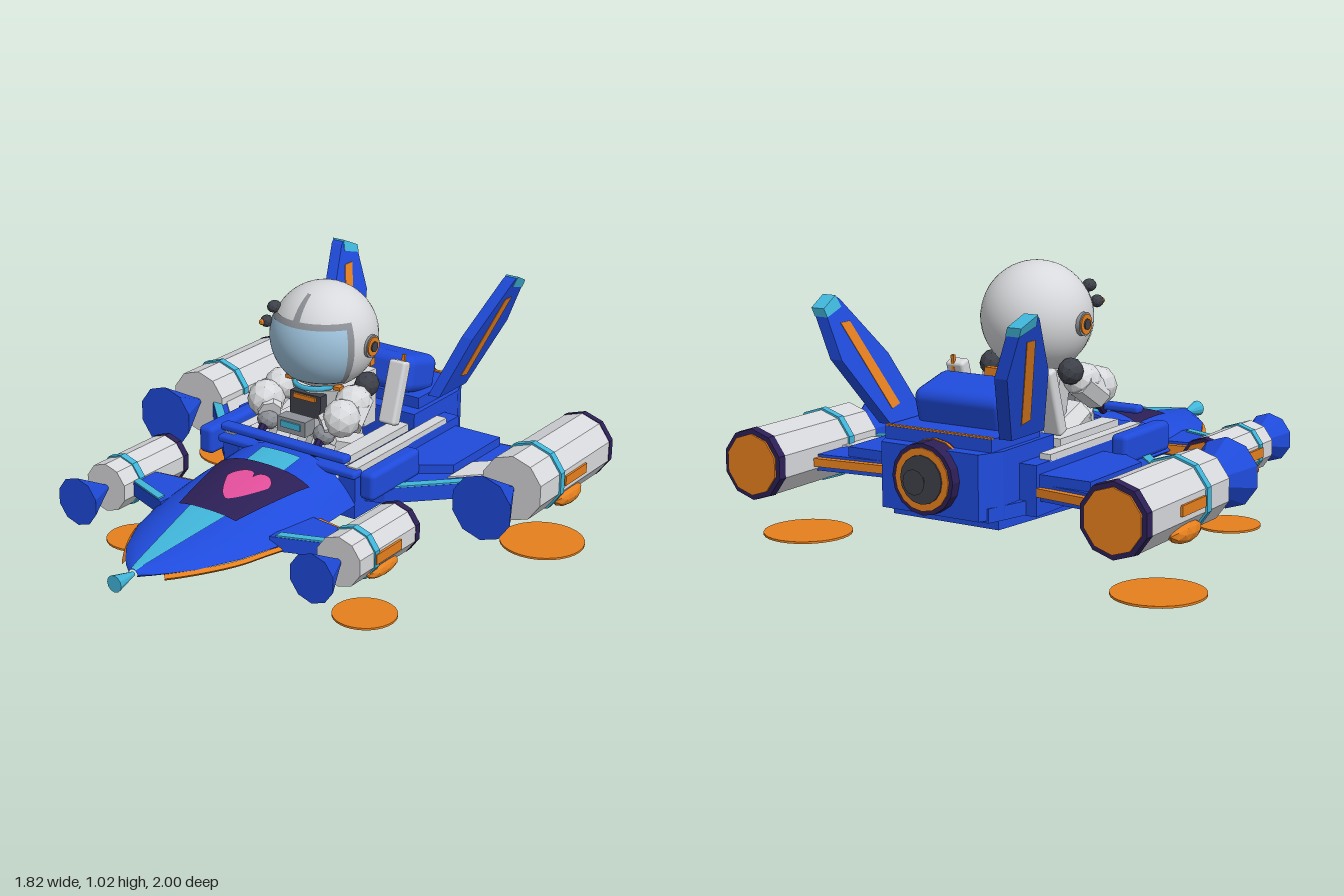
import * as THREE from 'three';
import { RoundedBoxGeometry } from 'three/addons/geometries/RoundedBoxGeometry.js';

const M = (name, color) => Object.assign(new THREE.MeshStandardMaterial({ color }), { name });

export function createModel() {
  const blue = M('blue', 0x1f4bdc), white = M('white', 0xd8d9dc), cyan = M('cyan', 0x40b6da);
  const orange = M('orange', 0xe6801e), purple = M('purple', 0x2c1f56), pink = M('pink', 0xe44f9c);
  const glass = M('visorBlue', 0x9fc4de), grey = M('grey', 0x8d9197), dark = M('darkGrey', 0x3f414a);
  const root = new THREE.Group();
  let target = root;

  // Helpers
  const group = (name) => { target = new THREE.Group(); target.name = name; root.add(target); };
  const flat = (g) => { const n = g.index ? g.toNonIndexed() : g; n.computeVertexNormals(); return n; };
  const add = (name, g, mat, x = 0, y = 0, z = 0) => {
    const m = new THREE.Mesh(g, mat);
    m.name = name;
    m.position.set(x, y, z);
    target.add(m);
    return m;
  };
  const box = (name, w, h, d, mat, x, y, z, rx = 0) => {
    add(name, new THREE.BoxGeometry(w, h, d), mat, x, y, z).rotation.x = rx;
  };
  const softBox = (name, w, h, d, r, mat, x, y, z, rx = 0) => {
    add(name, new RoundedBoxGeometry(w, h, d, 3, r), mat, x, y, z).rotation.x = rx;
  };
  // Cylinder lying along z
  const cyl = (name, rFront, rBack, len, sides, mat, x, y, z) =>
    add(name, flat(new THREE.CylinderGeometry(rFront, rBack, len, sides).rotateX(Math.PI / 2)), mat, x, y, z);
  const blob = (name, mat, x, y, z, sx, sy, sz) =>
    add(name, flat(new THREE.IcosahedronGeometry(1, 1).scale(sx, sy, sz)), mat, x, y, z);
  const limb = (name, a, b, r0, r1, mat) => {
    const p = new THREE.Vector3(...a), q = new THREE.Vector3(...b), d = q.clone().sub(p);
    const m = add(name, flat(new THREE.CylinderGeometry(r1, r0, d.length(), 7)), mat);
    m.position.copy(p).lerp(q, 0.5);
    m.quaternion.setFromUnitVectors(new THREE.Vector3(0, 1, 0), d.normalize());
  };
  // Horizontal plate from an x/z outline
  const slab = (name, pts, top, depth, mat, sg = 1) => {
    const s = new THREE.Shape(pts.map(([x, z]) => new THREE.Vector2(sg * x, z)));
    add(name, new THREE.ExtrudeGeometry(s, { depth, bevelEnabled: false }).rotateX(Math.PI / 2), mat, 0, top, 0);
  };
  // Surface from a function of (s, t)
  const grid = (ns, nt, f) => {
    const pos = [], idx = [];
    for (let i = 0; i <= ns; i++) for (let j = 0; j <= nt; j++) pos.push(...f(i / ns, j / nt));
    for (let i = 0; i < ns; i++) for (let j = 0; j < nt; j++) {
      const a = i * (nt + 1) + j, b = a + nt + 1;
      idx.push(a, b, a + 1, b, b + 1, a + 1);
    }
    const g = new THREE.BufferGeometry();
    g.setAttribute('position', new THREE.Float32BufferAttribute(pos, 3));
    g.setIndex(idx);
    g.computeVertexNormals();
    return g;
  };
  const { lerp, clamp } = THREE.MathUtils;
  const table = (rows) => (z) => {
    for (let i = 1; i < rows.length; i++) if (z <= rows[i][0]) {
      const [z0, a] = rows[i - 1], [z1, b] = rows[i];
      return lerp(a, b, (z - z0) / (z1 - z0));
    }
    return rows[rows.length - 1][1];
  };

  // Nose: domed upper skin and flatter belly sharing a sharp rim
  group('nose');
  const halfW = table([[0, 0.31], [0.2, 0.315], [0.4, 0.293], [0.6, 0.235], [0.75, 0.16], [0.85, 0.08], [0.9, 0.02]]);
  const rimY = (z) => 0.277 - 0.014 * z;
  const topY = (x, z) => rimY(z) + (0.158 - 0.158 * z) * (1 - Math.abs(clamp(x / halfW(z), -1, 1)) ** 2.8);
  const botY = (x, z) => rimY(z) - (0.065 - 0.06 * z) * (1 - Math.abs(clamp(x / halfW(z), -1, 1)) ** 4);
  add('noseTop', grid(24, 24, (s, t) => { const z = s * 0.9, x = (2 * t - 1) * halfW(z); return [x, topY(x, z), z]; }), blue);
  add('noseBelly', grid(24, 24, (s, t) => { const z = s * 0.9, x = (1 - 2 * t) * halfW(z); return [x, botY(x, z), z]; }), blue);
  add('noseBulkhead', grid(1, 24, (s, t) => { const x = (2 * t - 1) * 0.31; return [x, lerp(botY(x, 0), topY(x, 0), s), 0]; }), blue);
  const patch = (name, z0, z1, w, lift, mat) => add(name, grid(18, 12, (s, t) => {
    const z = lerp(z0, z1, s), x = (2 * t - 1) * w(z);
    return [x, topY(x, z) + lift, z];
  }), mat);
  patch('noseStripe', 0.04, 0.9, table([[0, 0.09], [0.48, 0.082], [0.9, 0.012]]), 0.004, cyan);
  patch('nosePanel', 0.145, 0.49, (z) => 0.238 - 0.22 * z, 0.007, purple);
  add('heart', grid(10, 32, (s, t) => {
    const u = 2 * t - 1, a = Math.abs(u);
    const back = 0.243 - 0.036 * Math.sqrt(Math.max(0, 1 - ((a - 0.5) / 0.5) ** 2)) + 0.03 * a * a;
    const x = 0.02 + u * 0.096, z = lerp(back, 0.405 - 0.132 * a ** 1.6, s);
    return [x, topY(x, z) + 0.011, z];
  }), pink);
  add('bellyStripe', grid(10, 6, (s, t) => {
    const z = lerp(0.1, 0.88, s), x = (1 - 2 * t) * (0.11 - 0.1 * z);
    return [x, botY(x, z) - 0.004, z];
  }), cyan);
  for (const sg of [-1, 1]) {
    const pts = [0.3, 0.4, 0.5, 0.6, 0.7, 0.8, 0.84].map((z) => new THREE.Vector3(sg * halfW(z), rimY(z) - 0.013, z));
    add('noseTrim', flat(new THREE.TubeGeometry(new THREE.CatmullRomCurve3(pts), 16, 0.012, 4)), orange);
  }
  cyl('noseProbe', 0.032, 0.008, 0.1, 12, cyan, 0, 0.265, 0.95);

  // Cockpit tub and rear fuselage
  group('fuselage');
  slab('floor', [[-0.3, 0], [0.3, 0], [0.3, -0.6], [0.22, -0.88], [-0.22, -0.88], [-0.3, -0.6]], 0.272, 0.05, blue);
  slab('keel', [[-0.275, -0.42], [0.275, -0.42], [0.22, -0.82], [-0.22, -0.82]], 0.24, 0.055, blue);
  softBox('dashBar', 0.58, 0.03, 0.05, 0.012, blue, 0, 0.462, 0.02);
  softBox('dashLip', 0.64, 0.03, 0.06, 0.012, blue, 0, 0.4, -0.005);
  for (const sg of [-1, 1]) {
    box('sideWall', 0.075, 0.18, 0.72, blue, sg * 0.27, 0.31, -0.36);
    box('rail', 0.045, 0.025, 0.62, white, sg * 0.285, 0.408, -0.32);
    box('innerRail', 0.07, 0.03, 0.4, white, sg * 0.205, 0.42, -0.26);
    softBox('seatPost', 0.075, 0.25, 0.05, 0.012, white, sg * 0.185, 0.56, -0.44, -0.3);
    softBox('sidePod', 0.068, 0.11, 0.32, 0.02, blue, sg * 0.375, 0.378, -0.13);
  }
  slab('rearBody', [[-0.24, -0.5], [0.24, -0.5], [0.24, -0.82], [0.2, -0.91], [-0.2, -0.91], [-0.24, -0.82]], 0.46, 0.23, blue);
  slab('rearDeck', [[-0.22, -0.56], [0.22, -0.56], [0.22, -0.86], [-0.22, -0.86]], 0.505, 0.06, blue);
  box('rearTrim', 0.44, 0.008, 0.015, orange, 0, 0.506, -0.85);
  softBox('headrest', 0.38, 0.15, 0.21, 0.04, blue, 0, 0.57, -0.64, -0.25);
  box('antenna', 0.012, 0.1, 0.012, orange, 0.19, 0.65, -0.49, -0.1);

  // Main thruster
  cyl('thrusterBody', 0.125, 0.125, 0.1, 16, purple, 0, 0.36, -0.9);
  cyl('thrusterRim', 0.128, 0.128, 0.012, 16, orange, 0, 0.36, -0.875);
  cyl('thrusterRing', 0.11, 0.11, 0.01, 16, orange, 0, 0.36, -0.95);
  cyl('thrusterDisc', 0.085, 0.085, 0.01, 16, dark, 0, 0.36, -0.955);
  cyl('thrusterNozzle', 0.012, 0.045, 0.045, 12, dark, 0, 0.36, -0.978);

  // Engine pod with a flared intake, and its hover disc on the ground
  const engine = (sg, x, y, zBack, zFront, r, coneLen, bandZ, discZ, discR) => {
    const X = sg * x, len = zFront - zBack;
    group('engine');
    cyl('engineBody', r, r, len - 0.03, 10, white, X, y, (zFront + zBack + 0.03) / 2);
    cyl('engineCollar', r * 1.02, r, 0.03, 10, purple, X, y, zBack + 0.015);
    cyl('engineGlow', r * 0.86, r * 0.86, 0.008, 10, orange, X, y, zBack - 0.003);
    cyl('engineBand', r * 1.06, r * 1.06, 0.028, 10, cyan, X, y, bandZ);
    cyl('engineIntake', r * 0.99, 0.012, coneLen, 10, blue, X, y, zFront + coneLen / 2);
    box('engineVent', 0.025, 0.038, 0.16, orange, X + sg * r * 0.92, y, discZ);
    blob('engineBlister', orange, X + sg * r * 0.73, y - r * 0.68, discZ, r * 0.3, r * 0.3, 0.096);
    add('hoverDisc', new THREE.CylinderGeometry(discR, discR, 0.008, 32), orange, X, 0.006, discZ);
  };

  for (const sg of [-1, 1]) {
    engine(sg, 0.745, 0.32, -0.95, -0.39, 0.13, 0.215, -0.545, -0.65, 0.165);
    engine(sg, 0.535, 0.28, 0.05, 0.43, 0.096, 0.16, 0.33, 0.26, 0.12);

    // Rear wing with coloured edges and raised panel
    group('rearWing');
    slab('wingPlate', [[0.28, -0.06], [0.38, -0.09], [0.67, -0.39], [0.67, -0.74], [0.28, -0.69]], 0.33, 0.06, blue, sg);
    slab('wingLeadingEdge', [[0.4, -0.112], [0.67, -0.392], [0.67, -0.44], [0.4, -0.165]], 0.336, 0.008, cyan, sg);
    slab('wingTrailingEdge', [[0.24, -0.67], [0.66, -0.72], [0.66, -0.765], [0.24, -0.71]], 0.32, 0.03, orange, sg);
    slab('wingPanel', [[0.29, -0.7], [0.51, -0.7], [0.51, -0.36], [0.4, -0.28], [0.29, -0.28]], 0.365, 0.05, blue, sg);
    slab('wingWhitePatch', [[0.515, -0.49], [0.65, -0.62], [0.65, -0.45], [0.515, -0.31]], 0.336, 0.008, white, sg);

    // Front winglet
    group('frontWing');
    slab('wingletPlate', [[0.24, 0.22], [0.46, 0.25], [0.46, 0.37], [0.25, 0.45]], 0.305, 0.055, blue, sg);
    slab('wingletLeadingEdge', [[0.27, 0.405], [0.46, 0.335], [0.46, 0.368], [0.27, 0.44]], 0.311, 0.008, cyan, sg);
    slab('wingletTrailingEdge', [[0.29, 0.2], [0.46, 0.23], [0.46, 0.25], [0.29, 0.225]], 0.295, 0.035, orange, sg);

    // Tail fin, sheared outward with height
    group('tailFin');
    const fin = (name, pts, th, mat) => {
      const s = new THREE.Shape(pts.map(([z, y]) => new THREE.Vector2(z, y)));
      const g = new THREE.ExtrudeGeometry(s, { depth: th, bevelEnabled: false }).rotateY(-Math.PI / 2);
      const p = g.attributes.position;
      for (let i = 0; i < p.count; i++) p.setX(i, p.getX(i) + th / 2 + sg * (0.25 + (p.getY(i) - 0.5) * 0.36));
      g.computeVertexNormals();
      add(name, g, mat);
    };
    fin('finBlade', [[-0.62, 0.5], [-0.72, 0.73], [-0.89, 0.935], [-0.905, 0.945], [-0.985, 0.905], [-0.975, 0.74], [-0.82, 0.5]], 0.05, blue);
    fin('finTip', [[-0.897, 0.91], [-0.91, 0.951], [-0.99, 0.915], [-0.985, 0.885]], 0.054, cyan);
    fin('finStripe', [[-0.74, 0.56], [-0.875, 0.86], [-0.925, 0.86], [-0.79, 0.55]], 0.055, orange);
  }

  // Pilot helmet with visor patches on the sphere
  group('helmet');
  const H = [0, 0.82, -0.235], R = 0.205;
  const shell = (name, r, az, th0, th1, mat) => add(name, new THREE.SphereGeometry(r, 28, 18,
    Math.PI / 2 - az, 2 * az, th0, th1 - th0), mat, ...H);
  add('helmetShell', new THREE.SphereGeometry(R, 40, 28), white, ...H);
  shell('visorFrame', R + 0.002, 1.18, 1.08, 2.4, grey);
  shell('visor', R + 0.004, 1.04, 1.2, 2.36, glass);
  shell('helmetCrest', R + 0.003, 0.08, 0.5, 1.12, grey);
  for (const sg of [-1, 1]) {
    const ear = (name, r, x, mat) => add(name, new THREE.CylinderGeometry(r, r, 0.025, 16).rotateZ(Math.PI / 2), mat, sg * x, 0.81, -0.245);
    ear('earCup', 0.044, 0.2, grey);
    ear('earRing', 0.037, 0.205, orange);
    ear('earCap', 0.02, 0.21, dark);
  }
  blob('helmetCamera', dark, -0.148, 0.93, -0.115, 0.026, 0.024, 0.03);
  blob('helmetLamp', dark, -0.172, 0.872, -0.1, 0.024, 0.024, 0.026);
  blob('lampTip', orange, -0.178, 0.872, -0.078, 0.012, 0.012, 0.012);

  // Pilot body
  group('pilot');
  limb('torso', [0, 0.3, -0.3], [0, 0.64, -0.26], 0.12, 0.14, white);
  add('collar', new THREE.TorusGeometry(0.08, 0.01, 6, 20).rotateX(Math.PI / 2), cyan, 0, 0.642, -0.18);
  box('chestPack', 0.14, 0.09, 0.04, dark, 0, 0.57, -0.13);
  box('chestTrim', 0.1, 0.018, 0.01, orange, 0, 0.6, -0.106);
  box('backpack', 0.2, 0.22, 0.08, white, 0, 0.53, -0.4);
  box('backpackTrim', 0.13, 0.03, 0.03, orange, 0, 0.65, -0.465);
  box('console', 0.13, 0.06, 0.06, grey, 0, 0.51, -0.05);
  box('consoleScreen', 0.09, 0.025, 0.008, cyan, 0, 0.515, -0.017);
  for (const sg of [-1, 1]) {
    box('collarClip', 0.03, 0.014, 0.03, orange, sg * 0.11, 0.645, -0.17);
    blob('shoulder', white, sg * 0.165, 0.595, -0.19, 0.068, 0.065, 0.08);
    blob('shoulderJoint', dark, sg * 0.168, 0.64, -0.275, 0.045, 0.05, 0.055);
    limb('upperArm', [sg * 0.17, 0.6, -0.22], [sg * 0.19, 0.53, -0.12], 0.06, 0.058, white);
    limb('forearm', [sg * 0.19, 0.56, -0.13], [sg * 0.12, 0.53, -0.05], 0.06, 0.045, white);
    blob('elbow', white, sg * 0.175, 0.56, -0.1, 0.07, 0.075, 0.08);
    blob('glove', grey, sg * 0.13, 0.5, -0.05, 0.045, 0.04, 0.04);
    limb('controlStick', [sg * 0.13, 0.44, 0.02], [sg * 0.13, 0.53, -0.07], 0.016, 0.02, purple);
    limb('thigh', [sg * 0.08, 0.36, -0.3], [sg * 0.09, 0.45, -0.1], 0.075, 0.06, white);
    limb('shin', [sg * 0.09, 0.45, -0.1], [sg * 0.06, 0.26, 0.0], 0.06, 0.05, white);
    // Boots resting through the floor
    blob('boot', white, sg * 0.06, 0.25, -0.16, 0.075, 0.046, 0.2);
    blob('bootToe', dark, sg * 0.06, 0.245, 0.02, 0.06, 0.038, 0.07);
  }
  return root;
}
